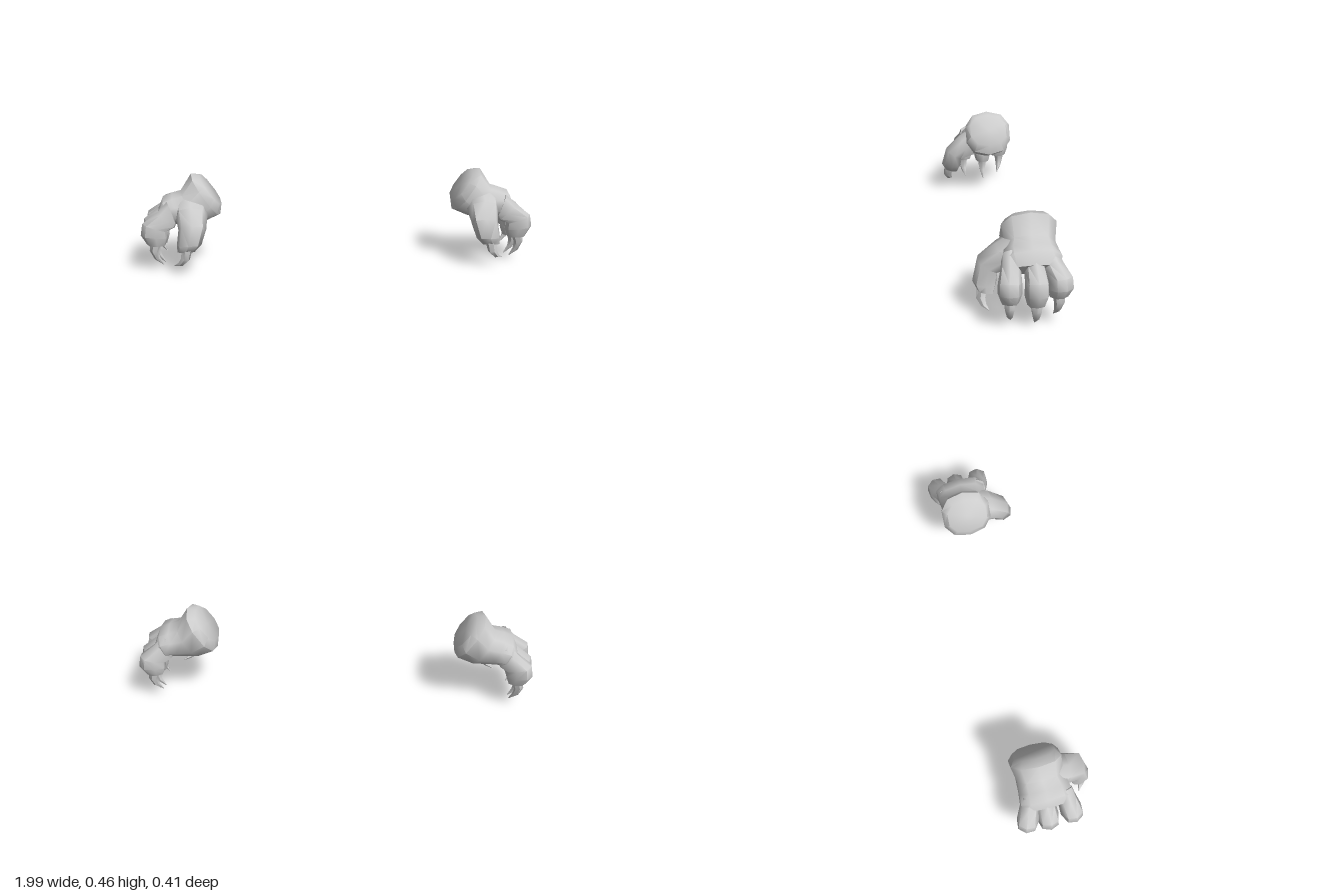
import * as THREE from 'three';
import { toCreasedNormals } from 'three/addons/utils/BufferGeometryUtils.js';

const material = new THREE.MeshStandardMaterial({ color: 0xcccccc });
const softPow = (v, p) => Math.sign(v) * Math.abs(v) ** p;

// Closed skin over rings. Each section is [outer point, inner point, half width];
// side is the width direction, mirror is 1 or -1 in x.
function loft(name, sections, side, mirror, sides = 8, square = 0.8) {
  const s = new THREE.Vector3(...side).normalize();
  const pts = [], index = [], centers = [];
  for (const [outer, inner, hw] of sections) {
    const o = new THREE.Vector3(...outer), i = new THREE.Vector3(...inner);
    const c = o.clone().add(i).multiplyScalar(0.5), v = o.clone().sub(c);
    centers.push(c);
    for (let k = 0; k < sides; k++) {
      const a = (k / sides) * Math.PI * 2;
      pts.push(c.clone().addScaledVector(v, softPow(Math.cos(a), square))
        .addScaledVector(s, hw * softPow(Math.sin(a), square)));
    }
  }
  const rings = sections.length, first = pts.length, last = first + 1;
  pts.push(centers[0], centers[rings - 1]);
  for (let k = 0; k < sides; k++) {
    const n = (k + 1) % sides, e = (rings - 1) * sides;
    for (let r = 0; r < rings - 1; r++) {
      const a = r * sides + k, b = r * sides + n;
      index.push(a, b, a + sides, b, b + sides, a + sides);
    }
    index.push(first, n, k, last, e + k, e + n);
  }
  for (const p of pts) p.x *= mirror;
  // Turn the faces outward if the enclosed volume is negative
  let volume = 0;
  const mid = centers[0].clone();
  mid.x *= mirror;
  for (let t = 0; t < index.length; t += 3) {
    const [a, b, c] = [0, 1, 2].map((j) => pts[index[t + j]].clone().sub(mid));
    volume += a.dot(b.cross(c));
  }
  if (volume < 0) index.reverse();
  const geometry = new THREE.BufferGeometry().setFromPoints(pts);
  geometry.setIndex(index);
  const mesh = new THREE.Mesh(toCreasedNormals(geometry, 0.95), material);
  mesh.name = name;
  return mesh;
}

// Profiles in the finger's own plane: [outer x, outer y, inner x, inner y, half width]
const ROOT = 0.82;
const fingerProfile = [
  [0.86, 0.345, 0.82, 0.22, 0.042],
  [0.91, 0.295, 0.825, 0.2, 0.045],
  [0.985, 0.235, 0.865, 0.185, 0.052],
  [0.995, 0.17, 0.86, 0.15, 0.054],
  [0.965, 0.112, 0.875, 0.105, 0.04],
];
const clawProfile = [
  [0.95, 0.13, 0.892, 0.13, 0.029],
  [0.955, 0.08, 0.91, 0.075, 0.024],
  [0.932, 0.033, 0.905, 0.043, 0.015],
  [0.887, 0.0, 0.885, 0.004, 0.002],
];

function buildFinger(name, z, yaw, lift, mirror) {
  const group = new THREE.Group();
  group.name = name;
  const place = (x, y) => [
    ROOT + (x - ROOT) * Math.cos(yaw),
    y + lift * Math.min(1, Math.max(0, (0.3 - y) / 0.2)),
    z + (x - ROOT) * Math.sin(yaw),
  ];
  const toSections = (profile) =>
    profile.map(([ox, oy, ix, iy, hw]) => [place(ox, oy), place(ix, iy), hw]);
  const side = [-Math.sin(yaw), 0, Math.cos(yaw)];
  group.add(loft('finger', toSections(fingerProfile), side, mirror));
  group.add(loft('claw', toSections(clawProfile), side, mirror, 6, 1));
  return group;
}

function buildPaw(name, mirror) {
  const paw = new THREE.Group();
  paw.name = name;

  // Wrist and back of the hand
  const palm = [
    [0.70, 0.455, 0.592, 0.305, -0.055, 0.105],
    [0.742, 0.462, 0.6, 0.25, -0.055, 0.13],
    [0.795, 0.38, 0.68, 0.215, -0.05, 0.118],
    [0.84, 0.366, 0.77, 0.215, -0.045, 0.127],
    [0.885, 0.35, 0.83, 0.215, -0.045, 0.134],
    [0.91, 0.29, 0.86, 0.225, -0.045, 0.115],
  ].map(([ox, oy, ix, iy, z, hw]) => [[ox, oy, z], [ix, iy, z], hw]);
  paw.add(loft('palm', palm, [0, 0, 1], mirror, 10, 0.85));

  // Three fingers fanned out sideways
  paw.add(buildFinger('frontFinger', 0.042, 0.2, 0.02, mirror));
  paw.add(buildFinger('middleFinger', -0.053, 0, 0, mirror));
  paw.add(buildFinger('rearFinger', -0.112, -0.38, 0.035, mirror));

  // Thumb reaching forward and down
  paw.add(loft('thumb', [
    [[0.74, 0.37, 0.03], [0.74, 0.22, -0.01], 0.085],
    [[0.74, 0.325, 0.1], [0.735, 0.205, 0.05], 0.077],
    [[0.73, 0.25, 0.182], [0.735, 0.195, 0.09], 0.068],
    [[0.75, 0.155, 0.205], [0.75, 0.14, 0.098], 0.06],
    [[0.765, 0.12, 0.187], [0.768, 0.105, 0.112], 0.042],
  ], [1, 0, 0], mirror));
  paw.add(loft('thumbClaw', [
    [[0.74, 0.14, 0.185], [0.775, 0.14, 0.14], 0.027],
    [[0.753, 0.08, 0.19], [0.787, 0.085, 0.152], 0.021],
    [[0.785, 0.047, 0.168], [0.803, 0.06, 0.15], 0.014],
    [[0.825, 0.04, 0.141], [0.826, 0.043, 0.139], 0.002],
  ], [0.75, 0, 0.65], mirror, 6, 1));
  return paw;
}

export function createModel() {
  const model = new THREE.Group();
  model.name = 'clawedPaws';
  model.add(buildPaw('leftPaw', 1), buildPaw('rightPaw', -1));
  return model;
}
